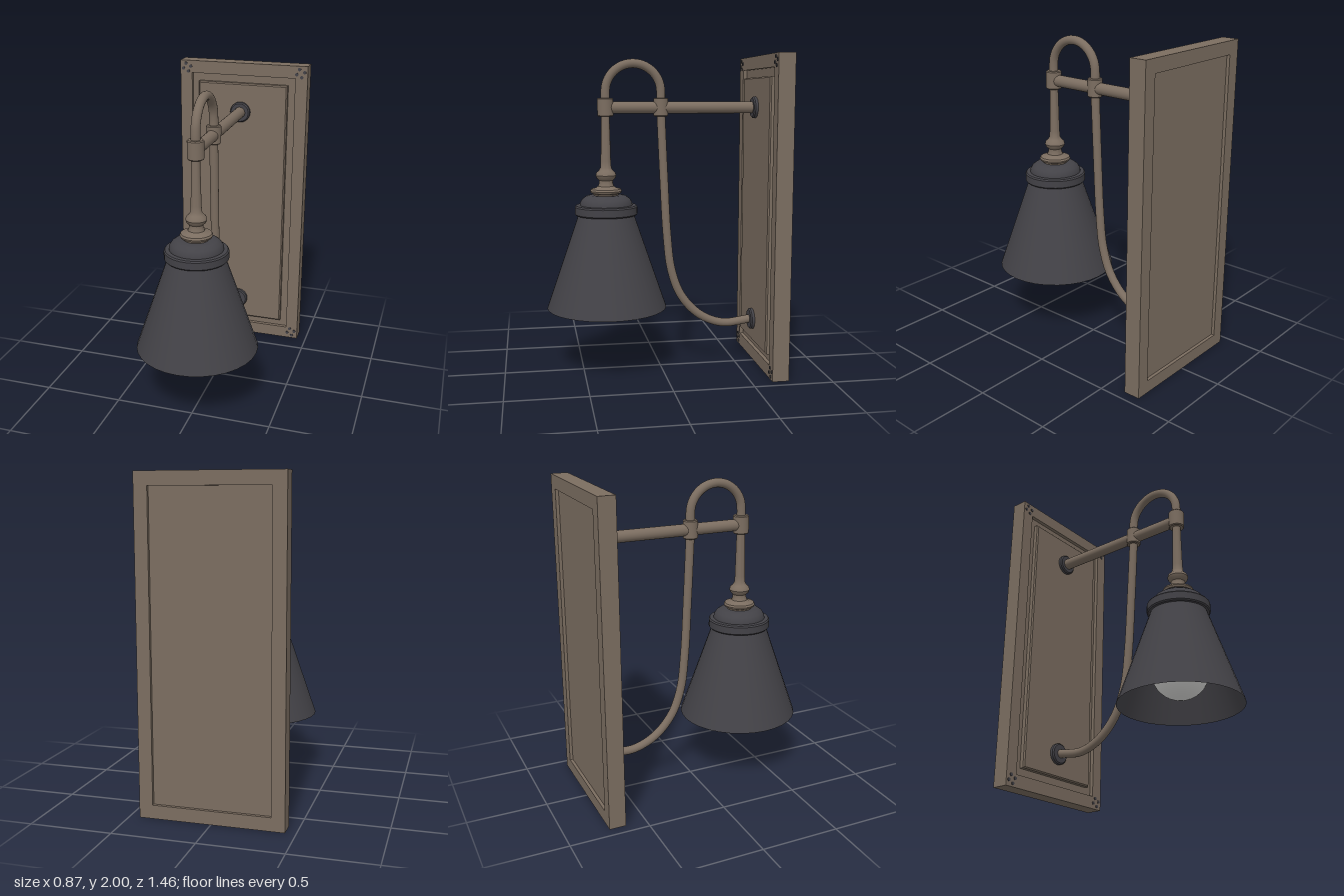
import * as THREE from 'three';
import { toCreasedNormals } from 'three/addons/utils/BufferGeometryUtils.js';

const bronze = new THREE.MeshStandardMaterial({ color: 0x7b6d60 });
bronze.name = 'aged bronze';
const black = new THREE.MeshStandardMaterial({ color: 0x434247, side: THREE.DoubleSide });
black.name = 'charcoal metal';
const glass = new THREE.MeshStandardMaterial({ color: 0xe2e2e0 });
glass.name = 'white glass';

const X = -0.01; // lamp axis
const LAMP_Z = 0.345, BACK_Z = -0.005, ARM_Y = 1.675;

export function createModel() {
  const group = new THREE.Group();

  const add = (name, geometry, material, x = 0, y = 0, z = 0) => {
    const mesh = new THREE.Mesh(geometry, material);
    mesh.name = name;
    mesh.position.set(x, y, z);
    group.add(mesh);
    return mesh;
  };
  // Turned parts: [radius, height] pairs listed from bottom to top
  const turned = (points, sides = 32) =>
    toCreasedNormals(new THREE.LatheGeometry(points.map(p => new THREE.Vector2(...p)), sides), 0.6);
  const rect = (shape, w, h) => shape
    .moveTo(-w, -h).lineTo(w, -h).lineTo(w, h).lineTo(-w, h).closePath();

  // Back plate: picture-frame border, recessed board and raised panel
  const border = new THREE.Shape();
  rect(border, 0.437, 1);
  const opening = new THREE.Path();
  rect(opening, 0.355, 0.918);
  border.holes.push(opening);
  add('frame', new THREE.ExtrudeGeometry(border, { depth: 0.105, bevelEnabled: false }), bronze, 0, 1, -0.735);
  add('backBoard', new THREE.BoxGeometry(0.72, 1.846, 0.06), bronze, 0, 1, -0.685);
  const panel = new THREE.Shape();
  rect(panel, 0.298, 0.858);
  add('raisedPanel', new THREE.ExtrudeGeometry(panel, {
    depth: 0.03, bevelThickness: 0.008, bevelSize: 0.008, bevelSegments: 1,
  }), bronze, 0, 1, -0.659);

  // Four small studs in every corner of the frame
  const stud = new THREE.CylinderGeometry(0.011, 0.011, 0.008, 12).rotateX(Math.PI / 2);
  for (const sx of [-1, 1]) for (const sy of [-1, 1]) for (let i = 0; i < 4; i++) {
    const a = i * Math.PI / 2 + 0.3;
    add('cornerStud', stud, black,
      sx * 0.39 + 0.027 * Math.cos(a), 1 + sy * 0.953 + 0.027 * Math.sin(a), -0.63);
  }

  // Wall rosettes and horizontal arm
  const rosette = turned([[0.068, 0], [0.068, 0.018], [0.06, 0.026], [0, 0.026]]).rotateX(Math.PI / 2);
  add('upperRosette', rosette, black, X, ARM_Y, -0.622);
  add('lowerRosette', rosette, black, X, 0.283, -0.622);
  add('arm', new THREE.CylinderGeometry(0.037, 0.037, 0.95, 20).rotateX(Math.PI / 2), bronze, X, ARM_Y, -0.13);

  // Collars where the pipes cross the arm
  for (const [z, r] of [[LAMP_Z, 0.05], [BACK_Z, 0.046]]) {
    add('collar', turned([[0, -0.058], [r - 0.006, -0.058], [r, -0.052], [r, 0.052],
      [r - 0.006, 0.058], [0, 0.058]], 24), bronze, X, ARM_Y + 0.003, z);
  }

  // Arched pipe above the arm
  const path = new THREE.CurvePath();
  const v = (y, z) => new THREE.Vector3(X, y, z);
  const arch = [v(1.7, LAMP_Z)];
  for (let i = 0; i <= 12; i++) {
    const a = i / 12 * Math.PI;
    arch.push(v(1.773 + 0.175 * Math.sin(a), 0.17 + 0.175 * Math.cos(a)));
  }
  arch.push(v(1.7, BACK_Z));
  path.add(new THREE.CatmullRomCurve3(arch));
  add('archPipe', new THREE.TubeGeometry(path, 48, 0.028, 16), bronze);

  // Long pipe sweeping down to the wall
  const sweep = new THREE.CatmullRomCurve3([
    v(1.65, -0.005), v(1.23, -0.025), v(0.86, -0.046), v(0.63, -0.075), v(0.46, -0.14),
    v(0.33, -0.26), v(0.267, -0.415), v(0.285, -0.61),
  ]);
  add('sweepPipe', new THREE.TubeGeometry(sweep, 64, 0.027, 16), bronze);

  // Turned stem with knob and disc
  add('stem', turned([
    [0, 1.115], [0.075, 1.12], [0.08, 1.137], [0.095, 1.143], [0.1, 1.155], [0.094, 1.167],
    [0.066, 1.174], [0.05, 1.185], [0.043, 1.205], [0.044, 1.222], [0.058, 1.235], [0.065, 1.253],
    [0.06, 1.27], [0.045, 1.284], [0.035, 1.3], [0.032, 1.34], [0.026, 1.63],
  ]), bronze, X, 0, LAMP_Z);

  // Open shade with rolled ring and domed cap
  add('shade', turned([
    [0.381, 0.408], [0.177, 1.0], [0.19, 1.002], [0.197, 1.01], [0.197, 1.055], [0.19, 1.064],
    [0.166, 1.066], [0.164, 1.083], [0.15, 1.105], [0.125, 1.123], [0.1, 1.128], [0, 1.128],
  ]), black, X, 0, LAMP_Z);

  // Globe bulb in its socket
  add('socket', turned([[0.07, 0.76], [0.07, 1.12]], 24), black, X, 0, LAMP_Z);
  add('bulb', new THREE.SphereGeometry(0.175, 32, 20), glass, X, 0.62, LAMP_Z);

  return group;
}
